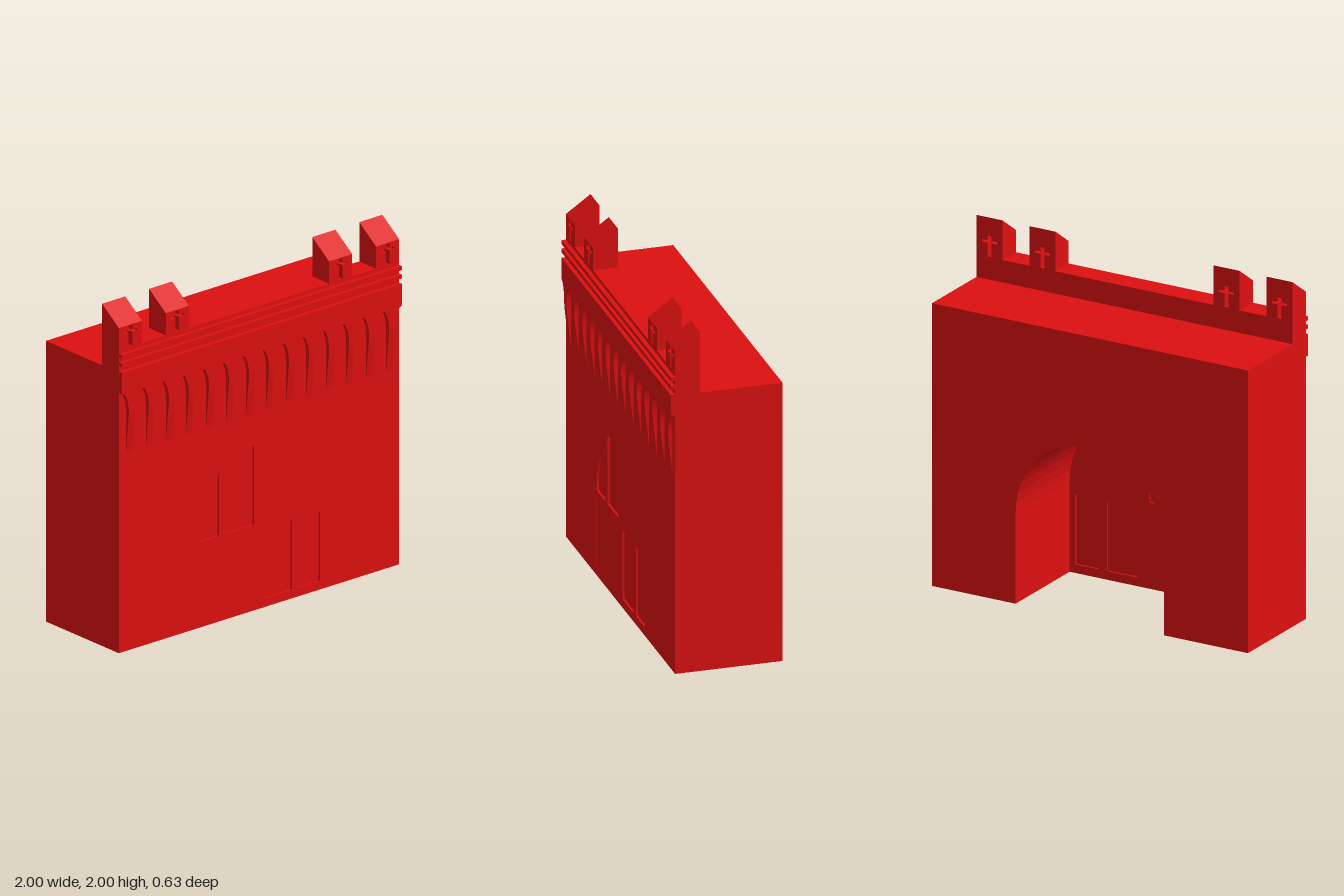
import * as THREE from 'three';

const FRONT = 0.29, BACK = -0.32, RELIEF = 0.025;
const WALL_TOP = 1.64, PARAPET_TOP = 1.77, PARAPET_BACK = 0.15;
const DOOR_R = 0.47, SPRING = 0.53; // arch radius and height of its springing line

export function createModel() {
  const model = new THREE.Group();
  const red = new THREE.MeshStandardMaterial({ color: 0xdd1010 });

  const add = (name, geometry, parent = model) => {
    const mesh = new THREE.Mesh(geometry, red);
    mesh.name = name;
    parent.add(mesh);
    return mesh;
  };
  const group = (name) => {
    const g = new THREE.Group();
    g.name = name;
    model.add(g);
    return g;
  };
  const polygon = (pts) => new THREE.Shape(pts.map(([x, y]) => new THREE.Vector2(x, y)));
  const extrude = (shape, z0, z1) =>
    new THREE.ExtrudeGeometry(shape, { depth: z1 - z0, bevelEnabled: false }).translate(0, 0, z0);
  const box = (x0, x1, y0, y1, z0, z1) =>
    new THREE.BoxGeometry(x1 - x0, y1 - y0, z1 - z0)
      .translate((x0 + x1) / 2, (y0 + y1) / 2, (z0 + z1) / 2);

  // Points of an arch, left to right
  const arch = (cx, cy, rx, ry, steps, from = Math.PI, to = 0) =>
    Array.from({ length: steps + 1 }, (_, i) => {
      const a = from + ((to - from) * i) / steps;
      return [cx + rx * Math.cos(a), cy + ry * Math.sin(a)];
    });
  const doorArch = arch(0, SPRING, DOOR_R, DOOR_R, 24);

  // Wall block with the vaulted passage
  add('wall', extrude(polygon([
    [-1, 0], [-DOOR_R, 0], ...doorArch, [DOOR_R, 0], [1, 0], [1, WALL_TOP], [-1, WALL_TOP],
  ]), BACK, FRONT));

  // Door: frame with eight openings and a thinner panel behind them
  const door = group('door');
  const outline = [[-DOOR_R, 0], ...doorArch, [DOOR_R, 0]];
  const frame = polygon(outline);
  const innerR = 0.435;
  const archY = (x) => SPRING + Math.sqrt(Math.max(0, innerR ** 2 - x ** 2));
  for (const side of [-1, 1]) {
    for (const [x0, x1] of [[0.035, 0.235], [0.285, innerR]]) {
      const rim = Array.from({ length: 11 }, (_, i) => {
        const a = Math.acos(x0 / innerR) + (Math.acos(x1 / innerR) - Math.acos(x0 / innerR)) * i / 10;
        const x = innerR * Math.cos(a);
        return [side * x, archY(x)];
      });
      frame.holes.push(polygon([[side * x0, 0.05], [side * x1, 0.05], [side * x1, 0.455], [side * x0, 0.455]]));
      frame.holes.push(polygon([[side * x0, 0.5], ...rim, [side * x1, 0.5]]));
    }
  }
  add('doorFrame', extrude(frame, 0.25, FRONT), door);
  add('doorPanels', extrude(polygon(outline), 0.262, FRONT - 0.012), door);

  // Arcaded band: arch heads cut into its lower edge, half arches at the ends
  const ARCH_FOOT = 1.4, PITCH = 1 / 7, HALF = 0.05, BAND_TOP = 1.646;
  const lower = [];
  for (let k = -7; k <= 7; k++) {
    lower.push(...arch(k * PITCH, ARCH_FOOT, HALF, 0.12, k * k === 49 ? 8 : 16,
      k === -7 ? Math.PI / 2 : Math.PI, k === 7 ? Math.PI / 2 : 0));
  }
  add('arcadeBand', extrude(polygon([...lower, [1, BAND_TOP], [-1, BAND_TOP]]), FRONT - 0.005, FRONT + RELIEF));

  // Ribs between the arches, tapering back into the wall
  const ribs = group('arcadeRibs');
  const ribWidth = PITCH - 2 * HALF;
  const ribShape = polygon([
    [FRONT - 0.005, 1.15], [FRONT, 1.15], [FRONT + 0.008, 1.23], [FRONT + 0.017, 1.31],
    [FRONT + 0.023, 1.37], [FRONT + RELIEF, ARCH_FOOT], [FRONT - 0.005, ARCH_FOOT],
  ]);
  const ribGeometry = extrude(ribShape, -ribWidth / 2, ribWidth / 2).rotateY(-Math.PI / 2);
  for (let k = -7; k < 7; k++) add('rib', ribGeometry, ribs).position.x = (k + 0.5) * PITCH;

  // Parapet and its two ledges
  add('parapet', box(-1, 1, WALL_TOP, PARAPET_TOP, PARAPET_BACK, FRONT));
  for (const y of [1.678, 1.727]) {
    add('ledge', box(-1, 1, y, y + 0.022, FRONT - 0.005, FRONT + RELIEF));
  }

  // Merlons with sloping tops, pierced by cross-shaped slits
  const merlons = group('merlons');
  const w = 0.0825, low = 1.9, high = 2.0;
  const merlonShape = polygon([[-w, PARAPET_TOP], [w, PARAPET_TOP], [w, low], [-w, low]]);
  const s = 0.013, arm = 0.048, y0 = 1.773, y1 = 1.853, y2 = 1.867, y3 = 1.894;
  merlonShape.holes.push(polygon([
    [-s, y0], [s, y0], [s, y1], [arm, y1], [arm, y2], [s, y2],
    [s, y3], [-s, y3], [-s, y2], [-arm, y2], [-arm, y1], [-s, y1],
  ]));
  const merlon = extrude(merlonShape, PARAPET_BACK, FRONT);
  const p = merlon.attributes.position;
  for (let i = 0; i < p.count; i++) {
    if (p.getY(i) > low - 0.001 && p.getZ(i) < PARAPET_BACK + 0.01) p.setY(i, high);
  }
  merlon.computeVertexNormals();
  for (const x of [-1 + w, -0.5825, 0.5825, 1 - w]) add('merlon', merlon, merlons).position.x = x;

  return model;
}
